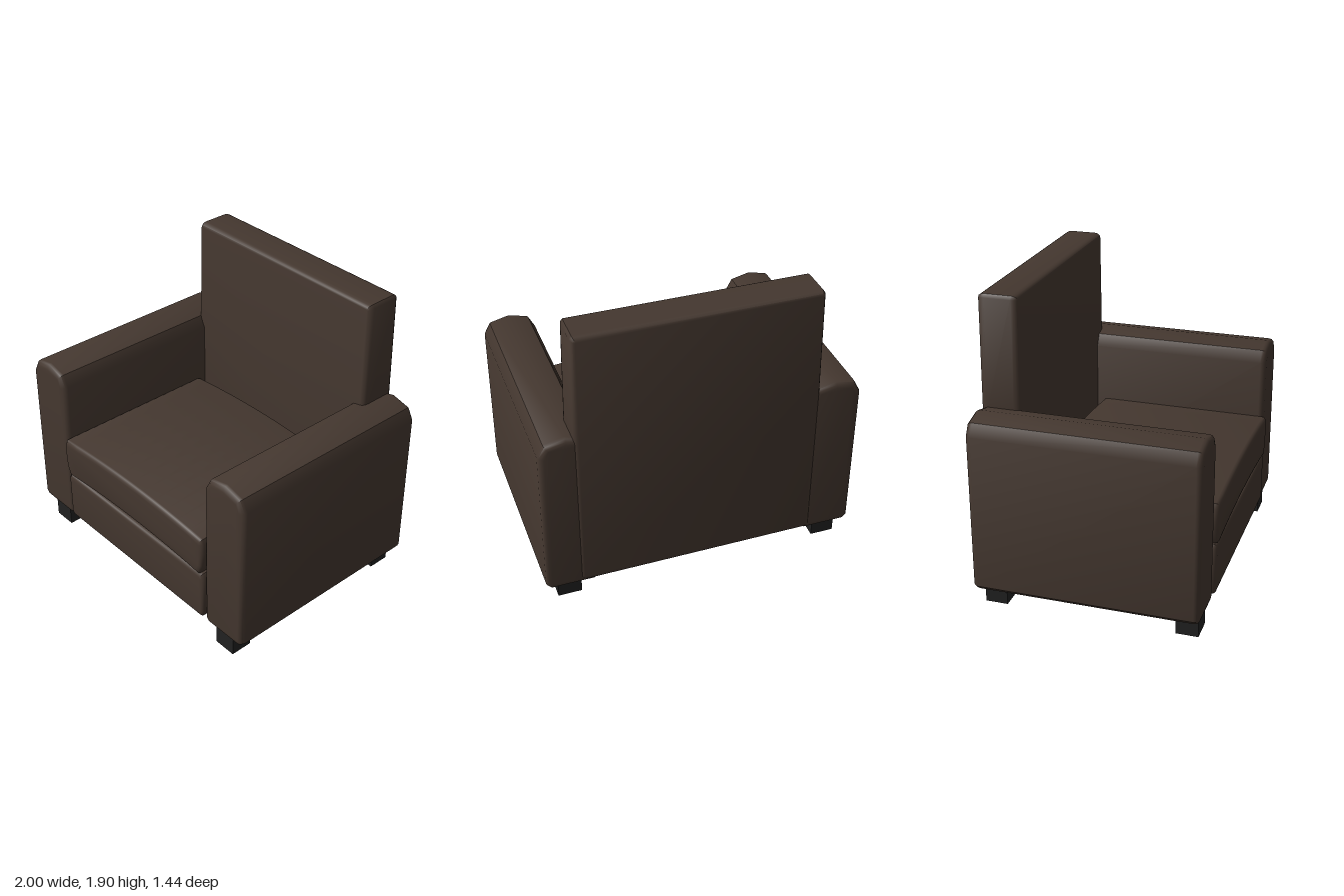
import * as THREE from 'three';
import { toCreasedNormals } from 'three/addons/utils/BufferGeometryUtils.js';

export function createModel() {
  const model = new THREE.Group();
  model.name = 'armchair';
  const leather = new THREE.MeshStandardMaterial({ color: 0x44372f });
  leather.name = 'brown leather';
  const legBlack = new THREE.MeshStandardMaterial({ color: 0x222222 });
  legBlack.name = 'black leg';

  // Upholstered block: front outline [x, y] run from z0 to z1 with rounded ends
  function pad(name, outline, z0, z1, size, thickness) {
    const shape = new THREE.Shape(outline.map(([x, y]) => new THREE.Vector2(x, y)));
    const geometry = new THREE.ExtrudeGeometry(shape, {
      depth: z1 - z0 - 2 * thickness,
      bevelEnabled: true,
      bevelSize: size,
      bevelOffset: -size,
      bevelThickness: thickness,
      bevelSegments: 3,
    });
    geometry.translate(0, 0, z0 + thickness);
    const mesh = new THREE.Mesh(toCreasedNormals(geometry, 0.7), leather);
    mesh.name = name;
    model.add(mesh);
  }

  // Arms with a faceted, domed top
  const arm = [
    [0.70, 0.13], [0.97, 0.13], [1, 0.16], [1, 1.14], [0.96, 1.215],
    [0.835, 1.245], [0.71, 1.215], [0.67, 1.14], [0.67, 0.16],
  ];
  pad('leftArm', arm, -0.71, 0.695, 0.035, 0.035);
  pad('rightArm', arm.map(([x, y]) => [-x, y]).reverse(), -0.71, 0.695, 0.035, 0.035);

  // Back rest, slightly wider below and set a little towards the left arm
  pad('backRest', [
    [-0.70, 0.15], [0.765, 0.15], [0.79, 0.18], [0.793, 1.2], [0.78, 1.885],
    [0.765, 1.905], [-0.695, 1.905], [-0.71, 1.885], [-0.725, 1.2], [-0.725, 0.18],
  ], -0.72, -0.475, 0.025, 0.04);

  // Seat base between the arms
  pad('seatBase', [
    [-0.655, 0.155], [0.655, 0.155], [0.672, 0.185], [0.672, 0.46],
    [0.655, 0.49], [-0.655, 0.49], [-0.672, 0.46], [-0.672, 0.185],
  ], -0.43, 0.71, 0.025, 0.025);

  // Seat cushion arched across its width, with bulging sides
  const arch = (half, y, rise) => Array.from({ length: 13 }, (_, i) => {
    const t = i / 6 - 1;
    return [half * t, y + rise * (1 - t * t)];
  });
  pad('seatCushion', [
    ...arch(0.64, 0.492, 0.033),
    [0.672, 0.56], [0.68, 0.66], [0.675, 0.73],
    ...arch(0.662, 0.762, 0.035).reverse(),
    [-0.675, 0.73], [-0.68, 0.66], [-0.672, 0.56],
  ], -0.43, 0.72, 0.03, 0.025);

  // Square legs; the back pair is shorter and set further out
  for (const side of [-1, 1]) {
    for (const [name, x, z, bottom] of [['Front', 0.825, 0.6, 0], ['Back', 0.85, -0.59, 0.02]]) {
      const leg = new THREE.Mesh(new THREE.BoxGeometry(0.15, 0.16 - bottom, 0.14), legBlack);
      leg.position.set(side * x, (0.16 + bottom) / 2, z);
      leg.name = (side > 0 ? 'left' : 'right') + name + 'Leg';
      model.add(leg);
    }
  }
  return model;
}
